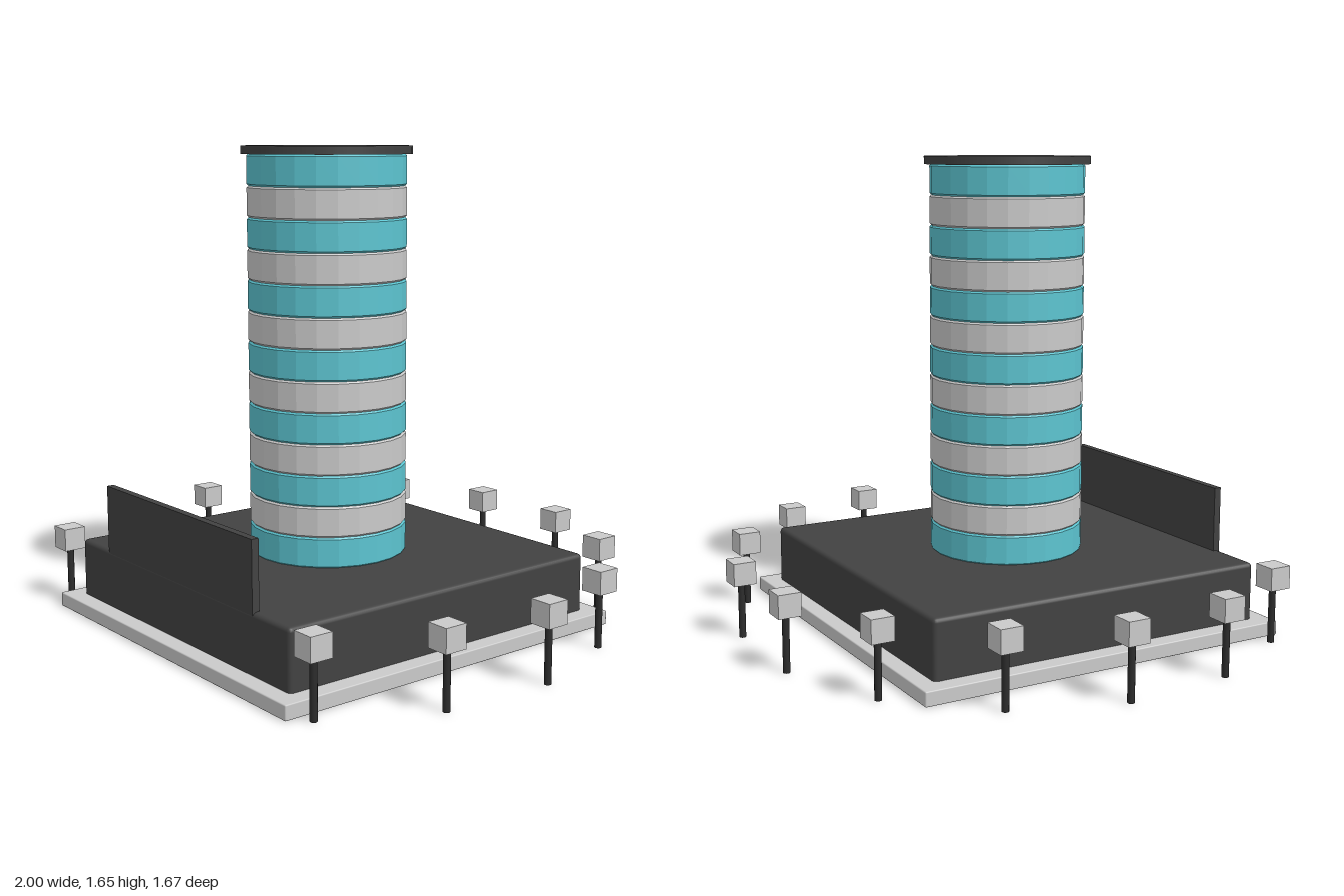
import * as THREE from 'three';
import { RoundedBoxGeometry } from 'three/addons/geometries/RoundedBoxGeometry.js';

const mat = (name, color, extra = {}) => {
  const m = new THREE.MeshStandardMaterial({ color, ...extra });
  m.name = name;
  return m;
};

export function createModel() {
  const dark = mat('charcoal', 0x424242);
  const light = mat('pale grey', 0xcacaca);
  const paleFloor = mat('pale floor', 0xcacaca, { flatShading: true });
  const glassFloor = mat('turquoise floor', 0x5cc4d0, { flatShading: true });
  const black = mat('post black', 0x2c2c2c);

  const model = new THREE.Group();
  model.name = 'towerBuilding';
  const cz = 0.142; // building centre in z

  const add = (parent, name, geometry, material, x, y, z) => {
    const mesh = new THREE.Mesh(geometry, material);
    mesh.name = name;
    mesh.position.set(x, y, z);
    parent.add(mesh);
    return mesh;
  };

  // Ground slab and podium
  add(model, 'slab', new RoundedBoxGeometry(1.38, 0.05, 1.38, 1, 0.004), light, 0, 0.025, cz);
  add(model, 'podium', new RoundedBoxGeometry(1.256, 0.222, 1.256, 2, 0.015), dark, 0, 0.141, cz);

  // Upright panel along the front edge of the roof
  add(model, 'frontPanel', new THREE.BoxGeometry(0.88, 0.24, 0.026), dark, 0, 0.362, 0.758);

  // Tower of alternating floors, each with bevelled rims
  const floors = 13, base = 0.25, top = 1.62, r = 0.272, b = 0.006;
  const h = (top - base) / floors;
  const profile = [[0, 0], [r - b, 0], [r, b], [r, h - b], [r - b, h], [0, h]]
    .map(([x, y]) => new THREE.Vector2(x, y));
  const floorGeometry = new THREE.LatheGeometry(profile, 24);
  const tower = new THREE.Group();
  tower.name = 'tower';
  model.add(tower);
  for (let i = 0; i < floors; i++) {
    add(tower, `floor${i + 1}`, floorGeometry, i % 2 ? paleFloor : glassFloor, 0, base + i * h, cz);
  }
  add(tower, 'roofCap', new THREE.CylinderGeometry(0.291, 0.291, 0.028, 48), dark, 0, 1.634, cz);

  // Ring of lamps, mirrored left and right
  const postGeometry = new THREE.CylinderGeometry(0.012, 0.012, 0.2, 12);
  const headGeometry = new THREE.BoxGeometry(0.08, 0.08, 0.08);
  const spots = [[0.2, -0.8], [0.56, -0.645], [0.83, -0.35], [0.958, 0.022], [0.925, 0.415], [0.738, 0.765]];
  for (const [x, z] of spots) {
    for (const side of [1, -1]) {
      const lamp = new THREE.Group();
      lamp.name = 'lamp';
      lamp.position.set(side * x, 0, z);
      add(lamp, 'lampPost', postGeometry, black, 0, 0.1, 0);
      add(lamp, 'lampHead', headGeometry, light, 0, 0.235, 0);
      model.add(lamp);
    }
  }
  return model;
}
